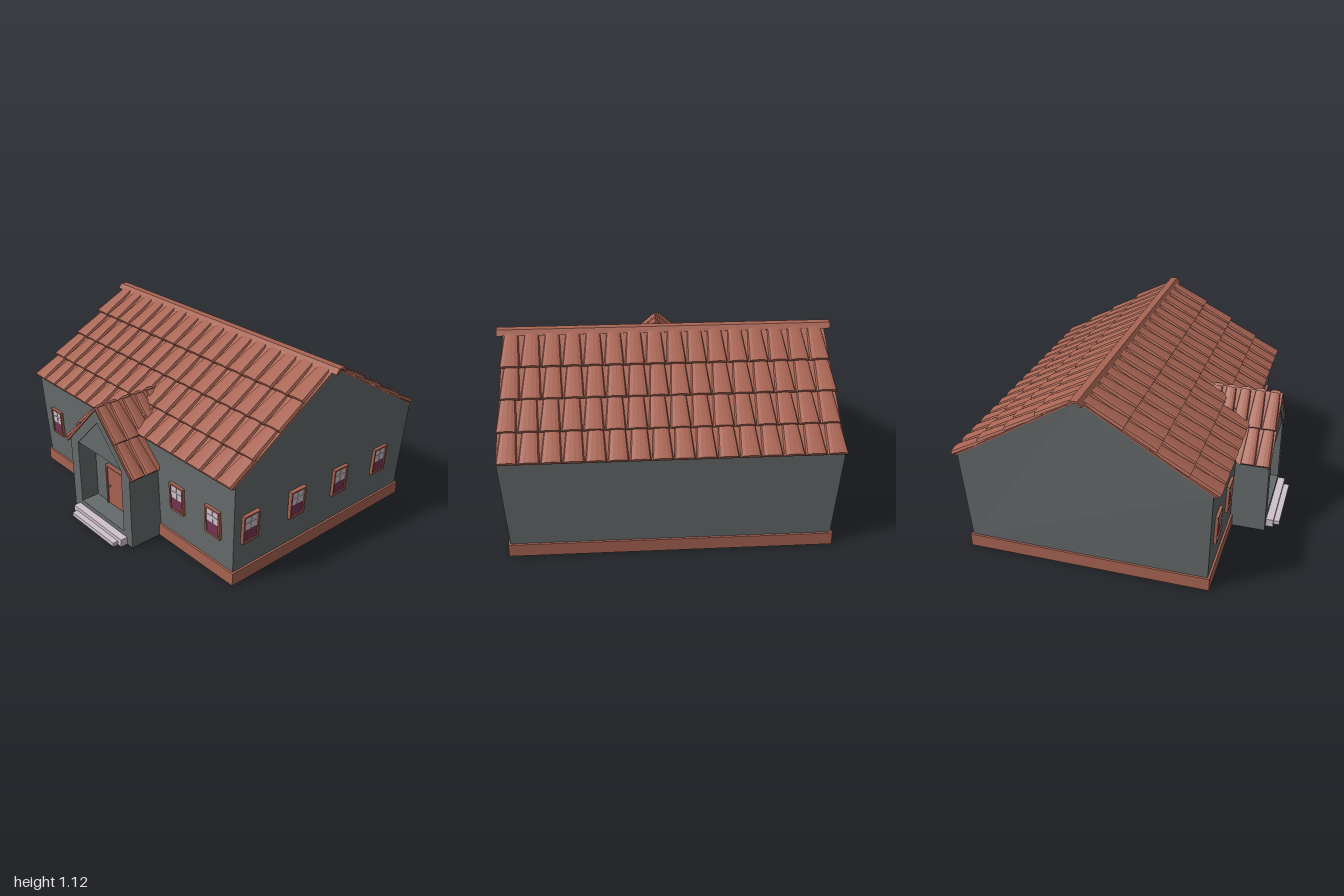
import * as THREE from 'three';
import { mergeGeometries } from 'three/addons/utils/BufferGeometryUtils.js';

const mat = (name, color) => {
  const m = new THREE.MeshStandardMaterial({ color, side: THREE.DoubleSide, flatShading: true });
  m.name = name;
  return m;
};

export function createModel() {
  const model = new THREE.Group();
  model.name = 'house';
  const terracotta = mat('terracotta', 0xa86453);
  const grey = mat('wall grey', 0x666b6b);
  const pale = mat('pale lilac', 0xd0c4cc);
  const purple = mat('purple', 0x783355);
  const tan = mat('tan', 0xc4a880);

  const add = (parent, name, geo, material, x = 0, y = 0, z = 0) => {
    const m = new THREE.Mesh(geo, material);
    m.name = name;
    m.position.set(x, y, z);
    parent.add(m);
    return m;
  };
  const box = (parent, name, material, w, h, d, x, y, z) =>
    add(parent, name, new THREE.BoxGeometry(w, h, d), material, x, y, z);
  const group = (name, x = 0, y = 0, z = 0, lean = 0, yaw = 0) => {
    const g = new THREE.Group();
    g.name = name;
    g.position.set(x, y, z);
    g.rotation.set(lean, yaw, 0, 'YXZ');
    model.add(g);
    return g;
  };
  // Flat convex polygon from corner points
  const poly = (name, pts, material) => {
    const tris = [];
    for (let i = 1; i < pts.length - 1; i++) tris.push(...pts[0], ...pts[i], ...pts[i + 1]);
    const g = new THREE.BufferGeometry();
    g.setAttribute('position', new THREE.Float32BufferAttribute(tris, 3));
    g.computeVertexNormals();
    return add(model, name, g, material);
  };
  const shape = pts => new THREE.Shape(pts.map(p => new THREE.Vector2(...p)));
  const extrude = (s, depth) => new THREE.ExtrudeGeometry(s, { depth, bevelEnabled: false });

  // Plinth: hollow rectangular rim
  const rim = shape([[-0.945, -0.615], [0.945, -0.615], [0.945, 0.855], [-0.945, 0.855]]);
  rim.holes.push(shape([[-0.91, -0.58], [-0.91, 0.82], [0.91, 0.82], [0.91, -0.58]]));
  add(model, 'plinth', extrude(rim, 0.08).rotateX(-Math.PI / 2), terracotta);

  // Main walls, leaning slightly outwards
  const [xb, xt, fb, ft, bb, bt, yb, yt] = [0.932, 0.963, 0.602, 0.622, -0.842, -0.865, 0.07, 0.648];
  poly('frontWall', [[-xb, yb, fb], [xb, yb, fb], [xt, yt, ft], [-xt, yt, ft]], grey);
  poly('backWall', [[xb, yb, bb], [-xb, yb, bb], [-xt, yt, bt], [xt, yt, bt]], grey);
  poly('gableLeft', [[xb, yb, fb], [xb, yb, bb], [xt, yt, bt], [xt, 1.1, -0.12], [xt, yt, ft]], grey);
  poly('gableRight', [[-xb, yb, bb], [-xb, yb, fb], [-xt, yt, ft], [-xt, 1.1, -0.12], [-xt, yt, bt]], grey);

  // Tapered barrel tile, wide end downhill (+z), lifted at the lower edge
  const tile = (width, len) => {
    const r = width * 0.49;
    const g = new THREE.CylinderGeometry(r * 0.72, r, len, 6, 1, false, -Math.PI / 2, Math.PI);
    g.rotateX(-Math.PI / 2);
    const p = g.attributes.position;
    for (let i = 0; i < p.count; i++) p.setY(i, 0.022 * Math.sqrt(Math.max(0, p.getY(i)) / r));
    g.translate(0, 0, len / 2).rotateX(-0.06);
    const flat = g.toNonIndexed();
    flat.computeVertexNormals();
    return flat;
  };
  const tileRow = (parent, xs, width, end, len) => add(parent, 'tileRow',
    mergeGeometries(xs.map(x => tile(width, len).translate(x, 0, end - len))), terracotta);

  // Main roof: two slopes of four tile rows over a thin sheet
  const ends = [0.28, 0.495, 0.705, 0.9], pitch = 0.1208;
  for (const [name, yaw] of [['frontRoof', 0], ['backRoof', Math.PI]]) {
    const roof = group(name, 0, 1.105, -0.12, 0.547, yaw);
    box(roof, 'roofSheet', terracotta, 1.925, 0.01, 0.89, 0, 0, 0.445);
    ends.forEach((end, row) => {
      const shift = (row % 2 ? 0.005 : -0.005);
      tileRow(roof, Array.from({ length: 16 }, (_, i) => (i - 7.5) * pitch + shift), pitch, end, 0.25);
    });
  }

  // Ridge cap
  const cap = shape([[-0.045, 1.09], [-0.022, 1.12], [0.022, 1.12], [0.045, 1.09],
    [0.034, 1.085], [0.016, 1.108], [-0.016, 1.108], [-0.034, 1.085]]);
  add(model, 'ridgeCap', extrude(cap, 2).translate(0, 0, -1).rotateY(Math.PI / 2), terracotta, 0, 0, -0.125);

  // Windows: framed, pale upper sash and purple lower sash
  const windowAt = (x, z, lean, yaw) => {
    const w = group('window', x, 0.346, z, lean, yaw);
    for (const s of [-1, 1]) {
      box(w, 'frameSide', terracotta, 0.011, 0.18, 0.026, s * 0.0545, 0, 0.004);
      box(w, 'frameRail', terracotta, 0.12, 0.011, 0.026, 0, s * 0.0845, 0.004);
    }
    box(w, 'upperSash', pale, 0.1, 0.087, 0.008, 0, 0.0365, 0.006);
    box(w, 'lowerSash', purple, 0.1, 0.073, 0.008, 0, -0.0435, 0.006);
    box(w, 'muntin', pale, 0.005, 0.085, 0.004, 0, 0.0365, 0.011);
    box(w, 'muntin', pale, 0.1, 0.005, 0.004, 0, 0.0365, 0.011);
  };
  for (const x of [-0.787, -0.479, 0.479, 0.787]) windowAt(x, 0.612, 0.035, 0);
  for (const z of [0.495, 0.128, -0.238, -0.61]) windowAt(0.948, z, 0.054, Math.PI / 2);

  // Porch front with a five-sided opening, its upper triangle filled
  const house = [[-0.3, 0], [0.3, 0], [0.3, 0.5], [0, 0.805], [-0.3, 0.5]];
  const front = shape(house);
  front.holes.push(shape([[-0.22, 0.08], [-0.22, 0.497], [0, 0.715], [0.22, 0.497], [0.22, 0.08]]));
  add(model, 'porchFront', extrude(front, 0.12), grey, 0, 0, 0.7);
  add(model, 'porchPediment', extrude(shape([[-0.22, 0.497], [0.22, 0.497], [0, 0.715]]), 0.11), grey, 0, 0, 0.705);
  poly('porchBackPanel', house.map(([x, y]) => [x, y, 0.35]), tan);
  poly('porchDoorWall', house.map(([x, y]) => [x, y, 0.695]), grey);
  for (const s of [-1, 1])
    poly('porchSide', [[s * 0.3, 0, 0.7], [s * 0.3, 0, 0.35], [s * 0.3, 0.5, 0.35], [s * 0.3, 0.5, 0.7]], grey);

  // Porch roof, running back into the main slope
  for (const s of [-1, 1]) {
    poly('porchRoofSheet', [[0, 0.815, 0.83], [s * 0.335, 0.475, 0.83], [s * 0.335, 0.475, 0.63],
      [0, 0.815, 0.35]], terracotta);
    const roof = group('porchRoof', 0, 0.81, 0, 0.795, s * Math.PI / 2);
    box(roof, 'porchVerge', terracotta, 0.02, 0.012, 0.475, -s * 0.82, 0, 0.238);
    const across = zs => zs.map(z => -s * z);
    tileRow(roof, across([0.785, 0.695, 0.605, 0.515, 0.43]), 0.09, 0.245, 0.24);
    tileRow(roof, across([0.785, 0.695]), 0.09, 0.475, 0.26);
  }

  // Door with frame and knob
  const door = group('door', 0, 0.222, 0.7);
  box(door, 'doorPanel', terracotta, 0.17, 0.262, 0.012, 0, -0.004, 0.004);
  for (const s of [-1, 1]) box(door, 'doorJamb', terracotta, 0.012, 0.275, 0.024, s * 0.088, 0, 0.006);
  box(door, 'doorHead', terracotta, 0.188, 0.012, 0.024, 0, 0.1315, 0.006);
  add(door, 'doorKnob', new THREE.SphereGeometry(0.009, 10, 8), terracotta, -0.062, -0.003, 0.017);

  // Porch floor and entrance steps
  box(model, 'porchFloor', grey, 0.59, 0.079, 0.115, 0, 0.0405, 0.7575);
  box(model, 'upperStep', pale, 0.5, 0.05, 0.045, 0, 0.025, 0.8425);
  box(model, 'lowerStep', pale, 0.435, 0.026, 0.035, 0, 0.013, 0.8825);

  return model;
}
